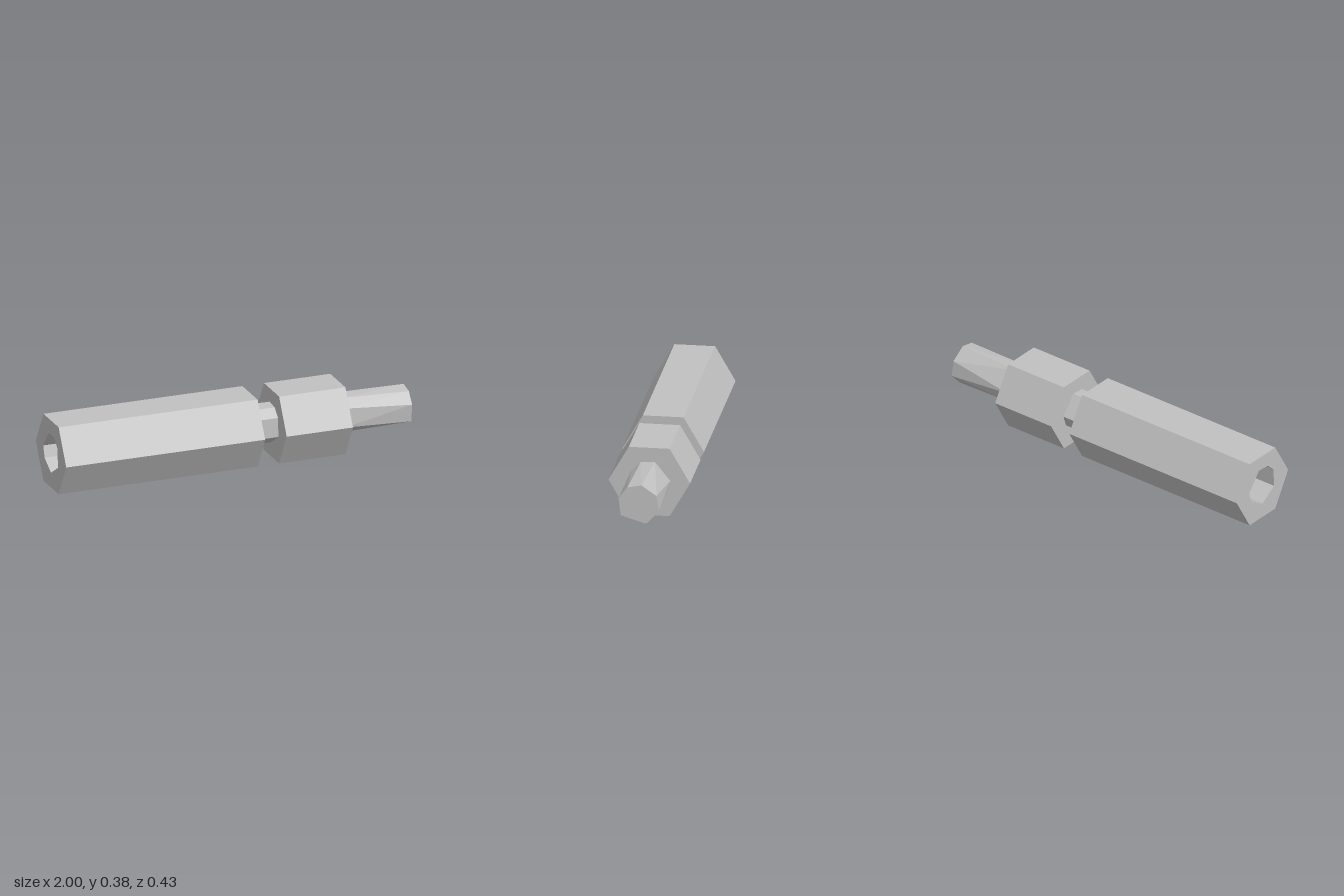
import * as THREE from 'three';
import { ConvexGeometry } from 'three/addons/geometries/ConvexGeometry.js';

const CENTER_Y = 0.188;

// Cross-sections as [z, y] pairs
const hexagon = Array.from({ length: 6 }, (_, i) => {
  const a = (i * Math.PI) / 3;
  return [0.217 * Math.cos(a), CENTER_Y + 0.217 * Math.sin(a)];
});
const rodRoot = [[0.093, 0.25], [0.098, 0.145], [0.0, 0.082], [-0.092, 0.135],
  [-0.112, 0.197], [-0.03, 0.299], [0.045, 0.293]];
const rodTip = [[0.107, 0.225], [0.095, 0.128], [-0.04, 0.087], [-0.108, 0.16],
  [-0.095, 0.245], [-0.015, 0.3], [0.06, 0.285]];

// Straight prism of a cross-section between two x positions
function prism(section, x0, x1, hole) {
  const toPoints = (s) => s.map(([z, y]) => new THREE.Vector2(-z, y));
  const shape = new THREE.Shape(toPoints(section));
  if (hole) shape.holes.push(new THREE.Path(toPoints(hole)));
  const geometry = new THREE.ExtrudeGeometry(shape, { depth: x1 - x0, bevelEnabled: false });
  return geometry.rotateY(Math.PI / 2).translate(x0, 0, 0);
}

export function createModel() {
  const group = new THREE.Group();
  group.name = 'hexStandoff';
  const metal = new THREE.MeshStandardMaterial({ color: 0xc0c0c0 });
  metal.name = 'grey metal';
  metal.flatShading = true;

  const add = (name, geometry) => {
    const mesh = new THREE.Mesh(geometry, metal);
    mesh.name = name;
    group.add(mesh);
  };

  // Long hexagonal sleeve, bored from its far end
  add('sleeve', prism(hexagon, -1, 0.125, rodRoot));

  // Rod that closes the bore and bridges the gap to the nut
  add('neck', prism(rodRoot, -0.4, 0.247));

  // Hexagonal nut
  add('nut', prism(hexagon, 0.247, 0.622));

  // Slightly twisted faceted stud
  const at = (x) => ([z, y]) => new THREE.Vector3(x, y, z);
  add('stud', new ConvexGeometry([...rodRoot.map(at(0.622)), ...rodTip.map(at(1))]));

  return group;
}
